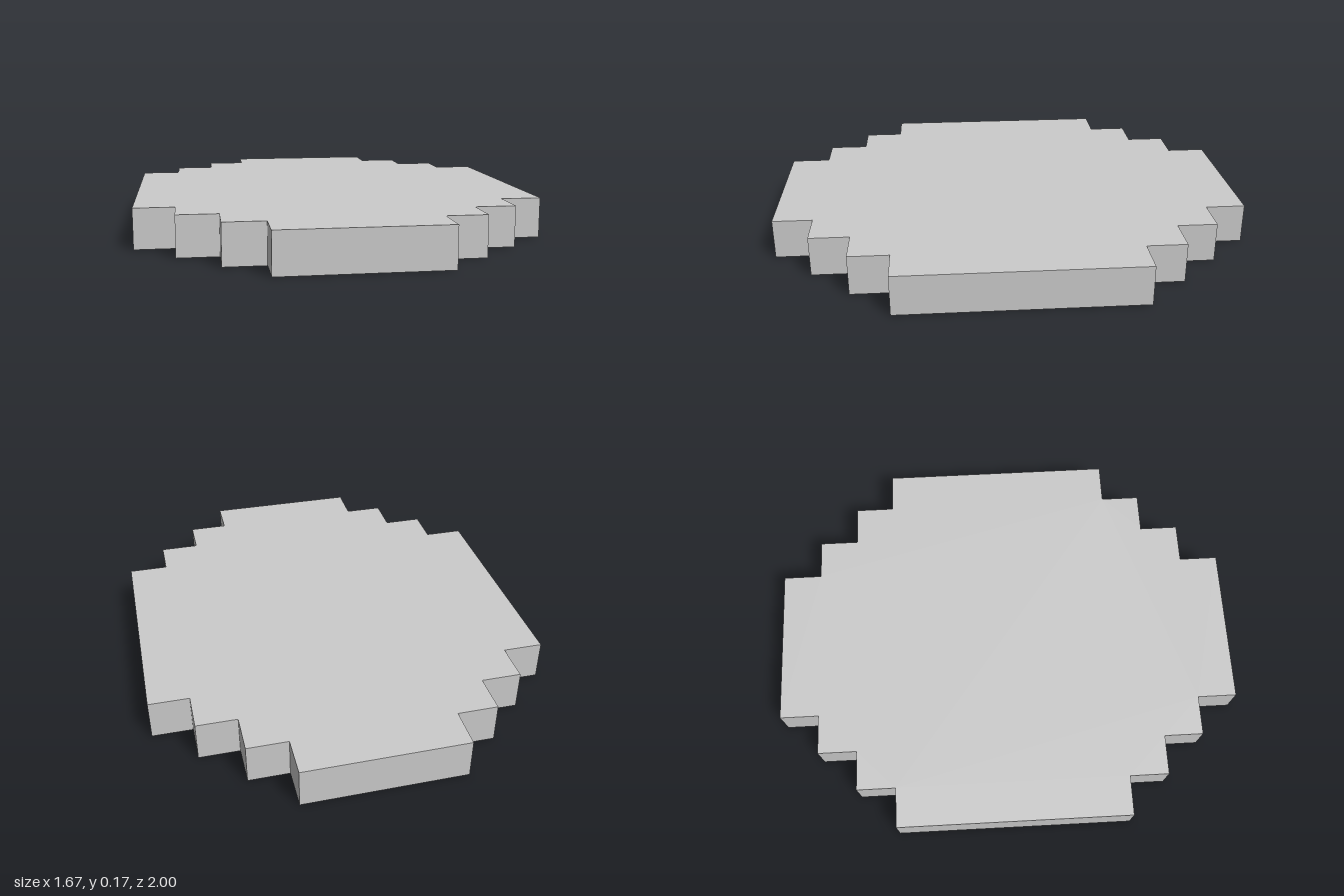
import * as THREE from 'three';

const UNIT = 1 / 6; // one step of the blocky outline

export function createModel() {
  const group = new THREE.Group();
  group.name = 'steppedPlate';

  // Stepped corner of one quadrant, in units, running from the side to the end
  const corner = [[5, 3], [4, 3], [4, 4], [3, 4], [3, 5], [2, 5], [2, 6]];
  const mirror = (sx, sy) => corner.map(([x, y]) => new THREE.Vector2(x * sx * UNIT, y * sy * UNIT));

  // Full outline, counter-clockwise
  const outline = new THREE.Shape([
    ...mirror(1, 1),
    ...mirror(-1, 1).reverse(),
    ...mirror(-1, -1),
    ...mirror(1, -1).reverse(),
  ]);

  // Flat slab standing on the ground
  const geometry = new THREE.ExtrudeGeometry(outline, { depth: UNIT, bevelEnabled: false });
  geometry.rotateX(-Math.PI / 2);

  const plate = new THREE.Mesh(
    geometry,
    new THREE.MeshStandardMaterial({ color: 0xcccccc, flatShading: true })
  );
  plate.name = 'plate';
  group.add(plate);
  return group;
}
